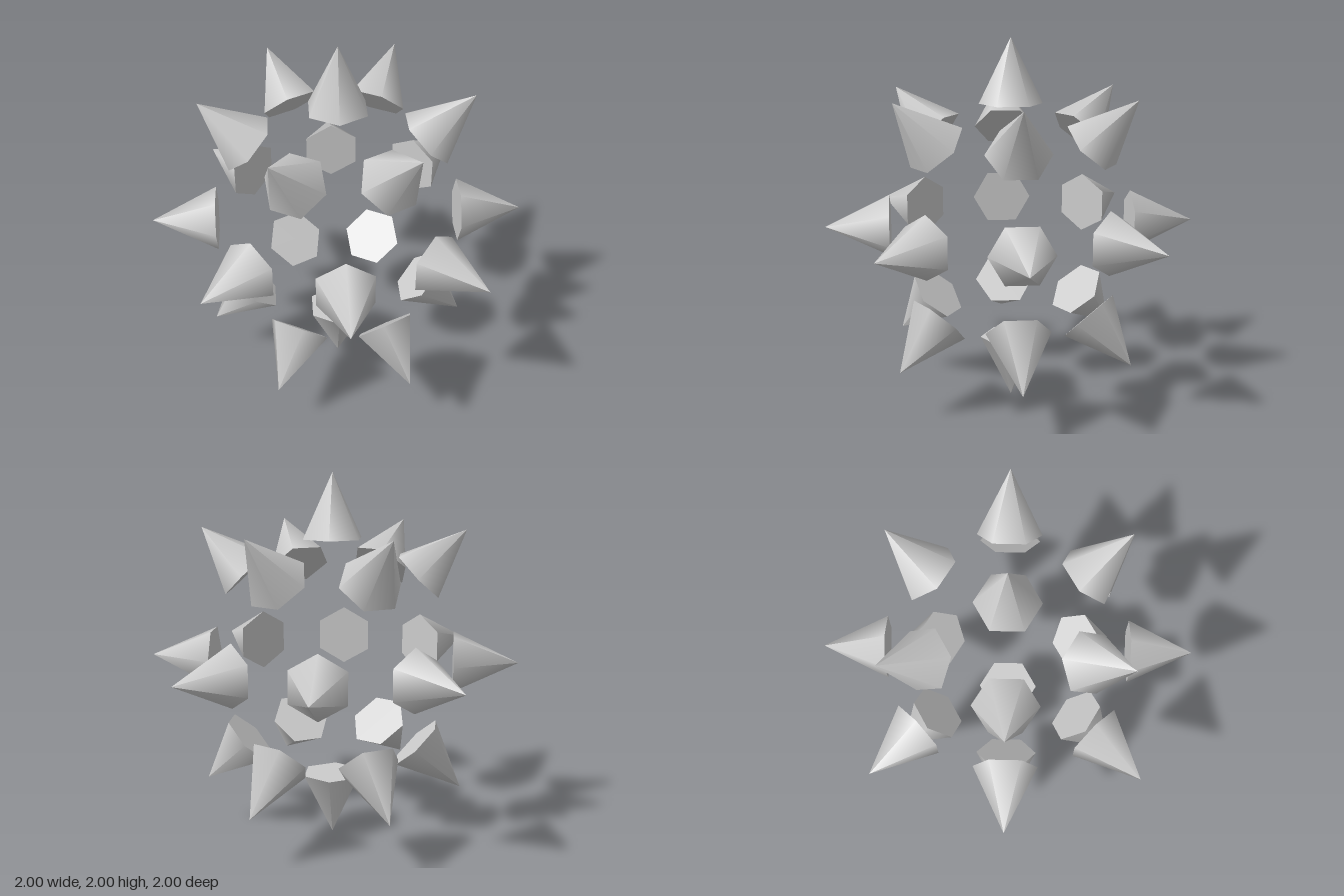
import * as THREE from 'three';

const TIP = 1;          // distance of every tip from the centre
const HEIGHT = 0.347;
const RADIUS = 0.17;

export function createModel() {
  const group = new THREE.Group();
  group.name = 'spikeBurst';
  const material = new THREE.MeshStandardMaterial({ color: 0xcccccc });

  // Six-sided spike with smooth flanks and its base at the local origin
  const spike = new THREE.ConeGeometry(RADIUS, HEIGHT, 6);
  spike.translate(0, TIP - HEIGHT / 2, 0);

  // tilt: angle from straight up; spin: turn about the vertical; roll: turn about the spike's axis
  function addSpike(name, tilt, spin = 0, roll = 0) {
    const mesh = new THREE.Mesh(spike, material);
    mesh.name = name;
    mesh.position.y = 1;
    mesh.rotation.set(0, spin, -tilt, 'YZX');
    mesh.rotateY(roll);
    group.add(mesh);
  }

  // Poles
  addSpike('topSpike', 0);
  addSpike('bottomSpike', Math.PI);

  // Upper and lower rings of six
  for (let i = 0; i < 6; i++) {
    const spin = (i * Math.PI) / 3;
    addSpike(`upperSpike${i + 1}`, Math.PI / 4, spin);
    addSpike(`lowerSpike${i + 1}`, (3 * Math.PI) / 4, spin);
  }

  // Middle ring of eight; all but the two side spikes have a corner pointing up
  for (let i = 0; i < 8; i++) {
    addSpike(`middleSpike${i + 1}`, Math.PI / 2, (i * Math.PI) / 4, i % 4 === 0 ? 0 : Math.PI / 6);
  }

  return group;
}
